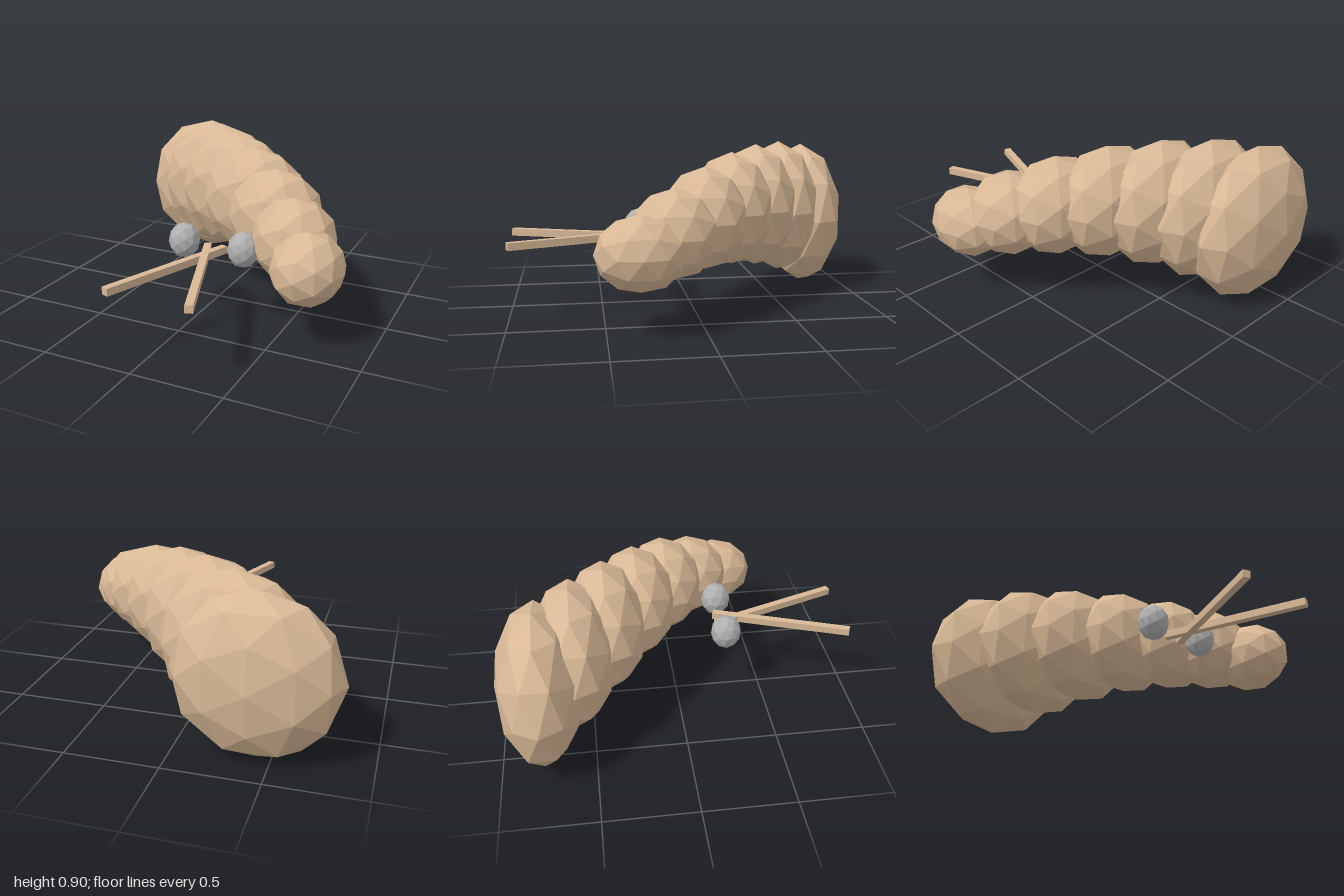
import * as THREE from 'three';

export function createModel() {
  const model = new THREE.Group();
  const tan = new THREE.MeshStandardMaterial({ color: 0xd8b896, flatShading: true });
  tan.name = 'tan';
  const grey = new THREE.MeshStandardMaterial({ color: 0xb0b0b0, flatShading: true });
  grey.name = 'grey';

  // Faceted ellipsoid
  function blob(name, material, position, radii) {
    const geometry = new THREE.IcosahedronGeometry(1, 1);
    geometry.scale(...radii);
    const mesh = new THREE.Mesh(geometry, material);
    mesh.name = name;
    mesh.position.set(...position);
    model.add(mesh);
  }

  // Body: seven overlapping segments, tapering evenly along an arched path
  const path = [
    [-0.415, 0.437], [-0.26, 0.504], [-0.073, 0.54], [0.131, 0.552],
    [0.335, 0.533], [0.51, 0.484], [0.653, 0.416],
  ];
  path.forEach(([x, y], i) => {
    const r = 0.435 - i * 0.0403;
    blob('bodySegment' + (i + 1), tan, [x, y, -0.77 + i * 0.1833], [r, r, 0.23]);
  });

  // Eyes and crossed sticks, mirrored about x = 0.1
  const middle = 0.1;
  for (const [side, s] of [['left', 1], ['right', -1]]) {
    blob(side + 'Eye', grey, [middle + s * 0.175, 0.435, 0.278], [0.086, 0.1, 0.086]);

    const stick = new THREE.Mesh(new THREE.BoxGeometry(0.04, 0.04, 0.8), tan);
    stick.name = side + 'Stick';
    stick.position.set(middle + s * 0.087, 0.407, 0.617);
    stick.rotation.y = s * 0.35;
    model.add(stick);
  }

  return model;
}
